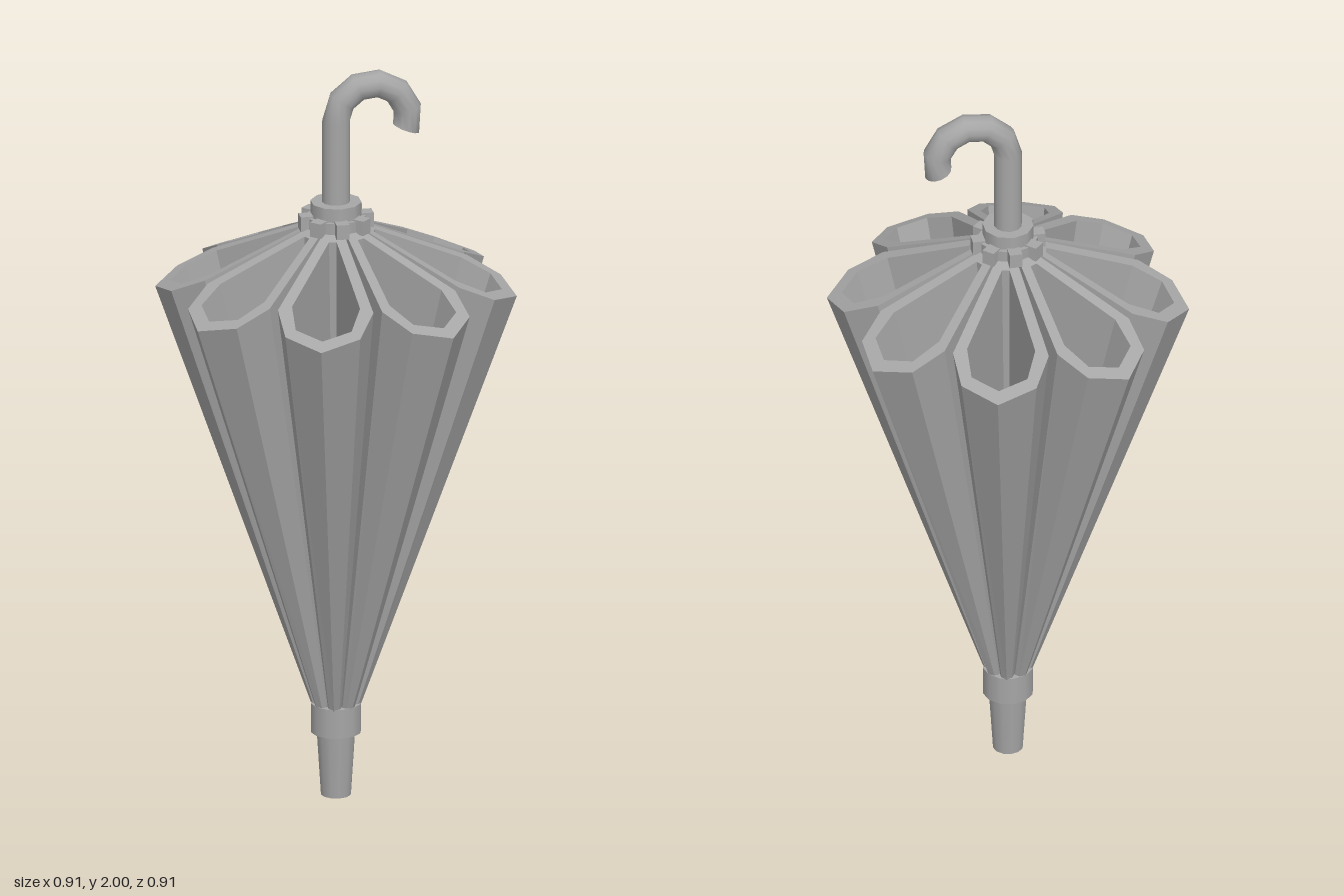
import * as THREE from 'three';

const fabric = new THREE.MeshStandardMaterial({ color: 0xa6a6a6, flatShading: true });
fabric.name = 'grey';
const smooth = new THREE.MeshStandardMaterial({ color: 0xa6a6a6 });
smooth.name = 'smooth grey';

function add(parent, name, geometry, material, x = 0, y = 0, z = 0) {
  const mesh = new THREE.Mesh(geometry, material);
  mesh.name = name;
  mesh.position.set(x, y, z);
  parent.add(mesh);
  return mesh;
}

// Half outlines of a fold: distance from the shaft, half width
const OUTER = [[0.075, 0.028], [0.333, 0.125], [0.423, 0.098], [0.473, 0]];
const INNER = [[0.1, 0.01], [0.32, 0.089], [0.398, 0.073], [0.434, 0]];
const rimHeight = (r) => 1.395 + (0.473 - r) * 0.46;

const mirrored = (half) => [
  ...half.map(([r, w]) => [r, -w]),
  ...half.slice(0, -1).reverse(),
];

// Hollow fold: outer wall up, over the slanted rim, inner wall down
function foldGeometry() {
  const outer = mirrored(OUTER), inner = mirrored(INNER);
  const top = (p) => p.map(([r, w]) => [r, rimHeight(r), w]);
  const bottom = (p, s, y) => p.map(([r, w]) => [r * s, y, w * s]);
  const rings = [bottom(outer, 0.13, 0.24), top(outer), top(inner), bottom(inner, 0.125, 0.25)];
  const n = outer.length, index = [];
  for (let i = 0; i < rings.length - 1; i++) {
    for (let j = 0; j < n; j++) {
      const k = (j + 1) % n;
      const a = i * n + j, b = i * n + k, c = a + n, d = b + n;
      index.push(a, c, d, a, d, b);
    }
  }
  const geometry = new THREE.BufferGeometry();
  geometry.setAttribute('position', new THREE.Float32BufferAttribute(rings.flat(2), 3));
  geometry.setIndex(index);
  const flat = geometry.toNonIndexed();
  flat.computeVertexNormals();
  return flat;
}

export function createModel() {
  const model = new THREE.Group();
  model.name = 'closedUmbrella';

  // Eight canopy folds
  const canopy = new THREE.Group();
  canopy.name = 'canopy';
  model.add(canopy);
  const fold = foldGeometry();
  for (let i = 0; i < 8; i++) {
    add(canopy, 'canopyFold', fold, fabric).rotation.y = -(15.8 + i * 45) * Math.PI / 180;
  }

  // Tip and the collar holding the folds
  add(model, 'tip', new THREE.CylinderGeometry(0.052, 0.04, 0.19, 12), smooth, 0, 0.095);
  add(model, 'tipCollar', new THREE.CylinderGeometry(0.067, 0.067, 0.08, 12), smooth, 0, 0.215);

  // Hub with rib joints
  const hub = new THREE.Group();
  hub.name = 'hub';
  model.add(hub);
  add(hub, 'hubCore', new THREE.CylinderGeometry(0.078, 0.078, 0.035, 10), smooth, 0, 1.59);
  add(hub, 'hubRing', new THREE.CylinderGeometry(0.067, 0.067, 0.05, 10), smooth, 0, 1.62);
  for (let i = 0; i < 8; i++) {
    const a = i * Math.PI / 4;
    const joint = add(hub, 'ribJoint', new THREE.BoxGeometry(0.04, 0.04, 0.034), fabric,
      Math.cos(a) * 0.077, 1.592, -Math.sin(a) * 0.077);
    joint.rotation.y = a;
  }

  // Shaft and hooked handle
  const R = 0.096, tube = 0.037, hookY = 1.869, end = -20 * Math.PI / 180;
  add(model, 'shaft', new THREE.CylinderGeometry(tube, tube, hookY - 0.2, 12, 1, true), smooth,
    0, (hookY + 0.2) / 2);
  add(model, 'handleHook', new THREE.TorusGeometry(R, tube, 12, 6, Math.PI - end), smooth,
    R, hookY).rotation.z = end;
  const cap = add(model, 'handleEnd', new THREE.CircleGeometry(tube, 12), smooth,
    R + R * Math.cos(end), hookY + R * Math.sin(end));
  cap.quaternion.setFromUnitVectors(new THREE.Vector3(0, 0, 1),
    new THREE.Vector3(Math.sin(end), -Math.cos(end), 0));

  return model;
}
